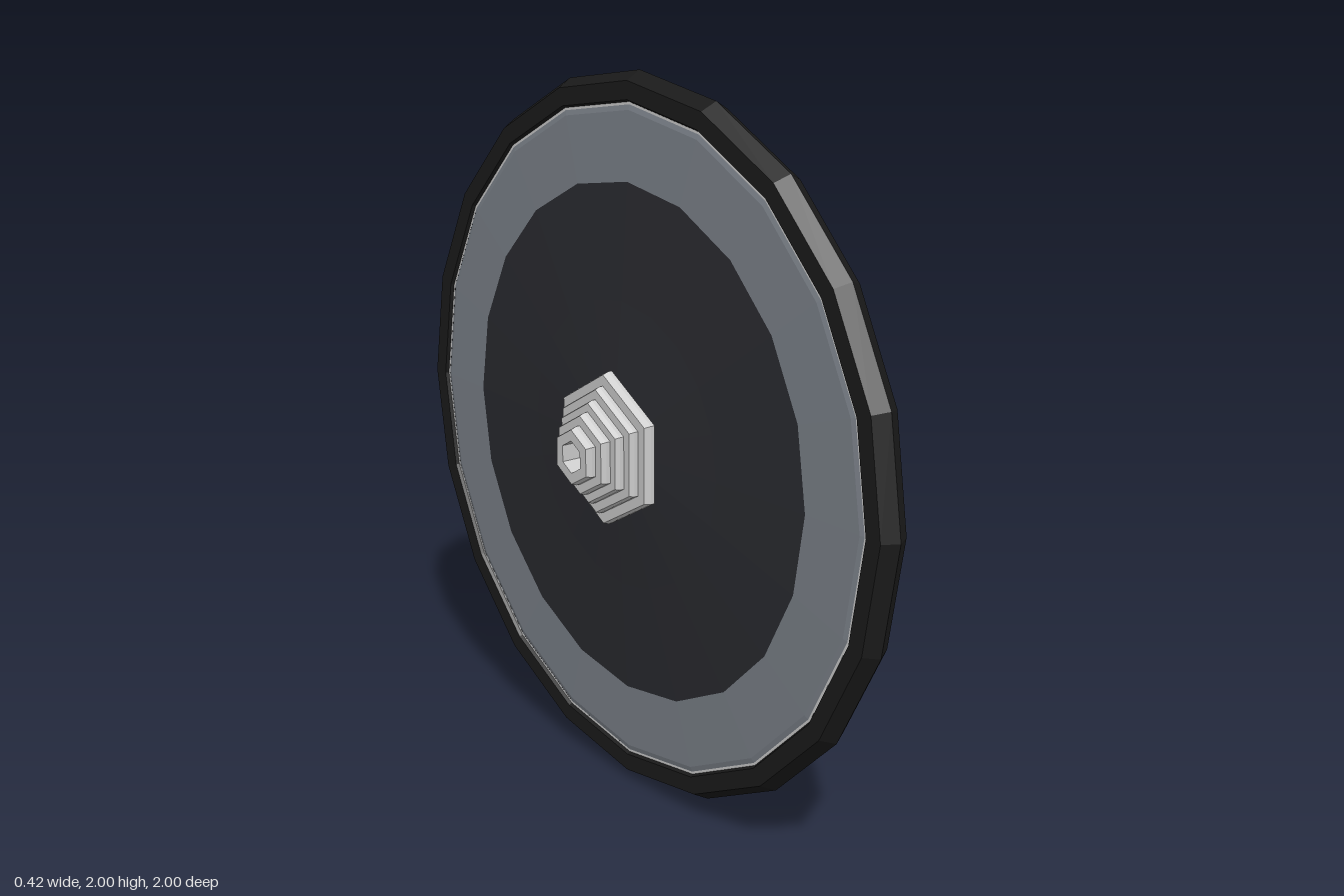
import * as THREE from 'three';

const CX = 0.013; // middle plane of the wheel

const mat = (color) => new THREE.MeshStandardMaterial({ color, flatShading: true, side: THREE.DoubleSide });

// Revolve a profile of [radius, x] points about the wheel axle, with a corner at the top.
function turned(name, profile, sides, material) {
  const pts = profile.map(([r, x]) => new THREE.Vector2(r, x));
  const geo = new THREE.LatheGeometry(pts, sides, Math.PI / 2);
  geo.rotateZ(-Math.PI / 2);
  const mesh = new THREE.Mesh(geo, material);
  mesh.name = name;
  return mesh;
}

export function createModel() {
  const rubber = mat(0x1a1a1a);
  const carbon = mat(0x2a2b30);
  const rimGrey = mat(0x7b8189);
  const steel = mat(0xcccccc);
  const black = mat(0x161616);

  const model = new THREE.Group();
  model.name = 'discWheel';
  const wheel = new THREE.Group();
  wheel.name = 'wheel';
  wheel.position.y = 1;
  model.add(wheel);

  // Tyre: six-sided section, ridge outwards
  const section = [];
  for (let i = 0; i <= 6; i++) {
    const a = (i / 6) * Math.PI * 2;
    section.push([0.951 + 0.049 * Math.cos(a), CX + 0.049 * Math.sin(a)]);
  }
  wheel.add(turned('tyre', section, 20, rubber));

  // Thin bright edge between rim and tyre
  for (const s of [-1, 1]) {
    wheel.add(turned('rimEdge', [[0.914, CX + s * 0.034], [0.921, CX + s * 0.034]], 20, steel));
  }

  // Rim bands and lens-shaped disc faces, one per side
  for (const s of [-1, 1]) {
    const band = [[0.915, CX + s * 0.033], [0.9, CX + s * 0.037], [0.715, CX + s * 0.042]];
    const face = [[0.715, CX + s * 0.042], [0.4, CX + s * 0.06], [0.1, CX + s * 0.083], [0.05, CX + s * 0.083]];
    if (s < 0) { band.reverse(); face.reverse(); }
    wheel.add(turned('rimBand', band, 20, rimGrey));
    wheel.add(turned('discFace', face, 20, carbon));
  }

  // Hollow hub with stepped end cap
  wheel.add(turned('hub', [
    [0.025, -0.1], [0.1, -0.1], [0.1, 0.1], [0.09, 0.1], [0.09, 0.125], [0.06, 0.155],
    [0.05, 0.175], [0.03, 0.205], [0.022, 0.205], [0.025, -0.1],
  ], 10, black));

  // Two thin ring plates and the three arms carrying them
  for (const [outer, inner, x] of [[0.235, 0.165, 0.147], [0.207, 0.16, 0.17]]) {
    wheel.add(turned('ringPlate', [
      [inner, x - 0.002], [outer, x - 0.002], [outer, x + 0.002], [inner, x + 0.002], [inner, x - 0.002],
    ], 10, steel));
  }
  for (let i = 0; i < 3; i++) {
    const arm = new THREE.Mesh(new THREE.BoxGeometry(0.012, 0.13, 0.03).translate(0.15, 0.105, 0), black);
    arm.name = 'plateArm';
    arm.rotation.x = THREE.MathUtils.degToRad(54 + i * 120);
    wheel.add(arm);
  }

  // Sprocket stack: six-sided tapered tiers around an open bore
  const tiers = [[0.215, -0.08], [0.178, -0.11], [0.145, -0.135], [0.115, -0.16], [0.082, -0.187]];
  tiers.forEach(([r, x], i) => {
    const end = i < tiers.length - 1 ? tiers[i + 1][1] : -0.215;
    wheel.add(turned('sprocket', [
      [0.045, end], [r - 0.006, end], [r, x - 0.012], [r, x], [0.045, x], [0.045, end],
    ], 6, steel));
  });

  // Valve
  const valve = new THREE.Mesh(new THREE.SphereGeometry(0.01, 8, 6), rimGrey);
  valve.name = 'valve';
  valve.position.set(0.053, 0.797, 0.107);
  wheel.add(valve);

  return model;
}
